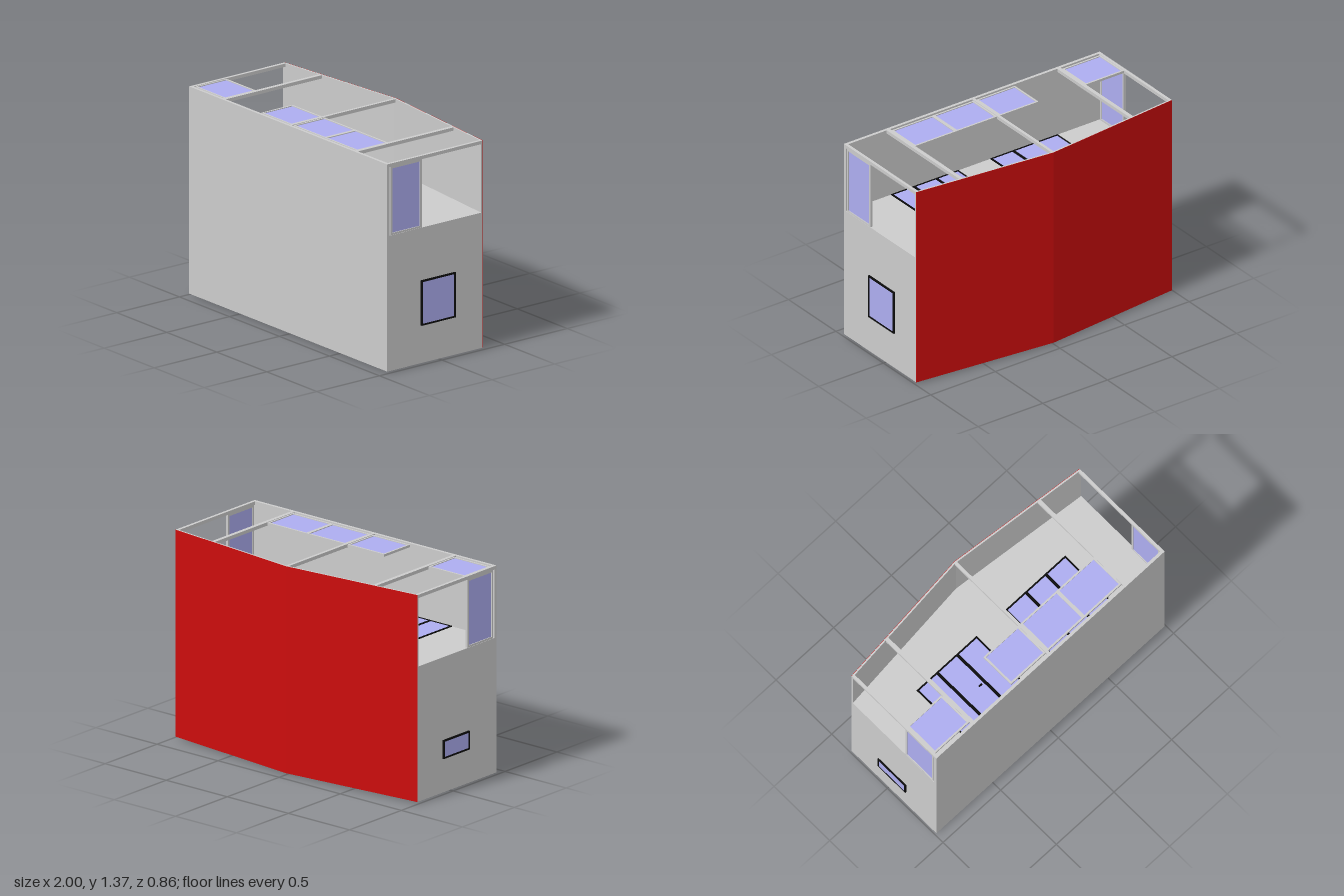
import * as THREE from 'three';

const grey = new THREE.MeshStandardMaterial({ color: 0xcccccc });
const glass = new THREE.MeshStandardMaterial({ color: 0xadadf0 });
const black = new THREE.MeshStandardMaterial({ color: 0x0b0b0b });
const red = new THREE.MeshStandardMaterial({ color: 0xcc0d0d });

// The house lies on its back wall: its floor faces +z, its roof -z, its porch +y.
const W = 0.99, FLOOR = 0.43, EAVE = -0.332, RIDGE = -0.432;
const BACK = 0.01, WALL = 0.9, TOP = 1.372;
const roofZ = (x) => RIDGE + (EAVE - RIDGE) * Math.abs(x) / W;

export function createModel() {
  const model = new THREE.Group();

  // Box given by its lower and upper limits on each axis
  function box(name, [x0, x1], [y0, y1], [z0, z1], mat = grey, parent = model) {
    const mesh = new THREE.Mesh(new THREE.BoxGeometry(x1 - x0, y1 - y0, z1 - z0), mat);
    mesh.position.set((x0 + x1) / 2, (y0 + y1) / 2, (z0 + z1) / 2);
    mesh.name = name;
    parent.add(mesh);
    return mesh;
  }

  // Outline in (x, z) extruded along y
  function prism(name, points, y0, y1, mat = grey) {
    const shape = new THREE.Shape(points.map(([x, z]) => new THREE.Vector2(x, -z)));
    const geo = new THREE.ExtrudeGeometry(shape, { depth: y1 - y0, bevelEnabled: false });
    geo.rotateX(-Math.PI / 2).translate(0, y0, 0);
    const mesh = new THREE.Mesh(geo, mat);
    mesh.name = name;
    model.add(mesh);
  }

  // Frame of four bars around a pane; axis is the thin direction
  function framed(name, axis, a, b, c, t, frameMat, paneInset) {
    const group = new THREE.Group();
    group.name = name;
    model.add(group);
    const put = (part, u, v, w, mat) => axis === 'x'
      ? box(part, w, u, v, mat, group) : box(part, u, w, v, mat, group);
    put('frameBar', a, [b[0], b[0] + t], c, frameMat);
    put('frameBar', a, [b[1] - t, b[1]], c, frameMat);
    put('frameBar', [a[0], a[0] + t], [b[0] + t, b[1] - t], c, frameMat);
    put('frameBar', [a[1] - t, a[1]], [b[0] + t, b[1] - t], c, frameMat);
    put('pane', [a[0] + t, a[1] - t], [b[0] + t, b[1] - t], [c[0] + paneInset, c[1] - paneInset], glass);
    return group;
  }

  // Enclosed rooms
  prism('houseBody', [[-W, FLOOR], [W, FLOOR], [W, EAVE], [0, RIDGE], [-W, EAVE]], BACK, WALL);

  // Porch floor, roof deck and ridge covering
  box('porchFloor', [-W, W], [WALL, TOP], [0.41, FLOOR]);
  const slab = (z0, z1) => [
    [-W, EAVE + z1], [0, RIDGE + z1], [W, EAVE + z1],
    [W, EAVE + z0], [0, RIDGE + z0], [-W, EAVE + z0]];
  prism('porchRoofDeck', slab(0, 0.011), WALL, TOP);
  prism('roofCovering', slab(-0.002, 0), BACK, TOP, red);

  // Porch posts, reaching up to the roof slope
  for (const [x, w] of [[-0.98, 0.02], [-0.66, 0.026], [0, 0.02], [0.66, 0.026], [0.98, 0.02]]) {
    box('porchPost', [x - w / 2, x + w / 2], [1.35, TOP], [roofZ(x) + 0.004, 0.41]);
  }

  // Balustrade panels along the porch front
  for (const [x0, x1] of [[-0.97, -0.673], [-0.31, -0.01], [0.01, 0.325], [0.325, 0.647]]) {
    framed('frontBalustrade', 'y', [x0, x1], [0.148, 0.397], [1.353, 1.369], 0.012, grey, 0.005);
  }

  // Balustrade panels on the porch ends
  for (const s of [-1, 1]) {
    const c = [s * 0.972, s * 0.988].sort((p, q) => p - q);
    framed('endBalustrade', 'x', [WALL, 1.35], [0.152, 0.4], c, 0.013, grey, 0.005);
  }

  // Three-panel glazed doors opening on the porch
  for (const [x0, x1] of [[-0.646, -0.126], [0.122, 0.642]]) {
    const door = framed('porchDoor', 'y', [x0, x1], [-0.104, 0.406], [WALL - 0.01, WALL + 0.006], 0.011, black, 0.002);
    for (const k of [1, 2]) {
      const x = x0 + (x1 - x0) * k / 3;
      box('doorMullion', [x - 0.01, x + 0.01], [WALL, WALL + 0.006], [-0.1, 0.4], black, door);
    }
  }
  box('doorHandle', [-0.35, -0.325], [WALL, WALL + 0.02], [0.146, 0.154], black);

  // Windows in the end walls and the back wall
  framed('endWindow', 'x', [0.258, 0.555], [-0.11, 0.162], [0.98, 1], 0.011, black, 0.003);
  framed('endWindow', 'x', [0.232, 0.355], [-0.09, 0.16], [-1, -0.98], 0.011, black, 0.003);
  framed('backWindow', 'y', [0.073, 0.195], [-0.088, 0.162], [0, 0.02], 0.011, black, 0.003);
  framed('backWindow', 'y', [-0.572, -0.3], [0.03, 0.162], [0, 0.02], 0.011, black, 0.003);

  return model;
}
